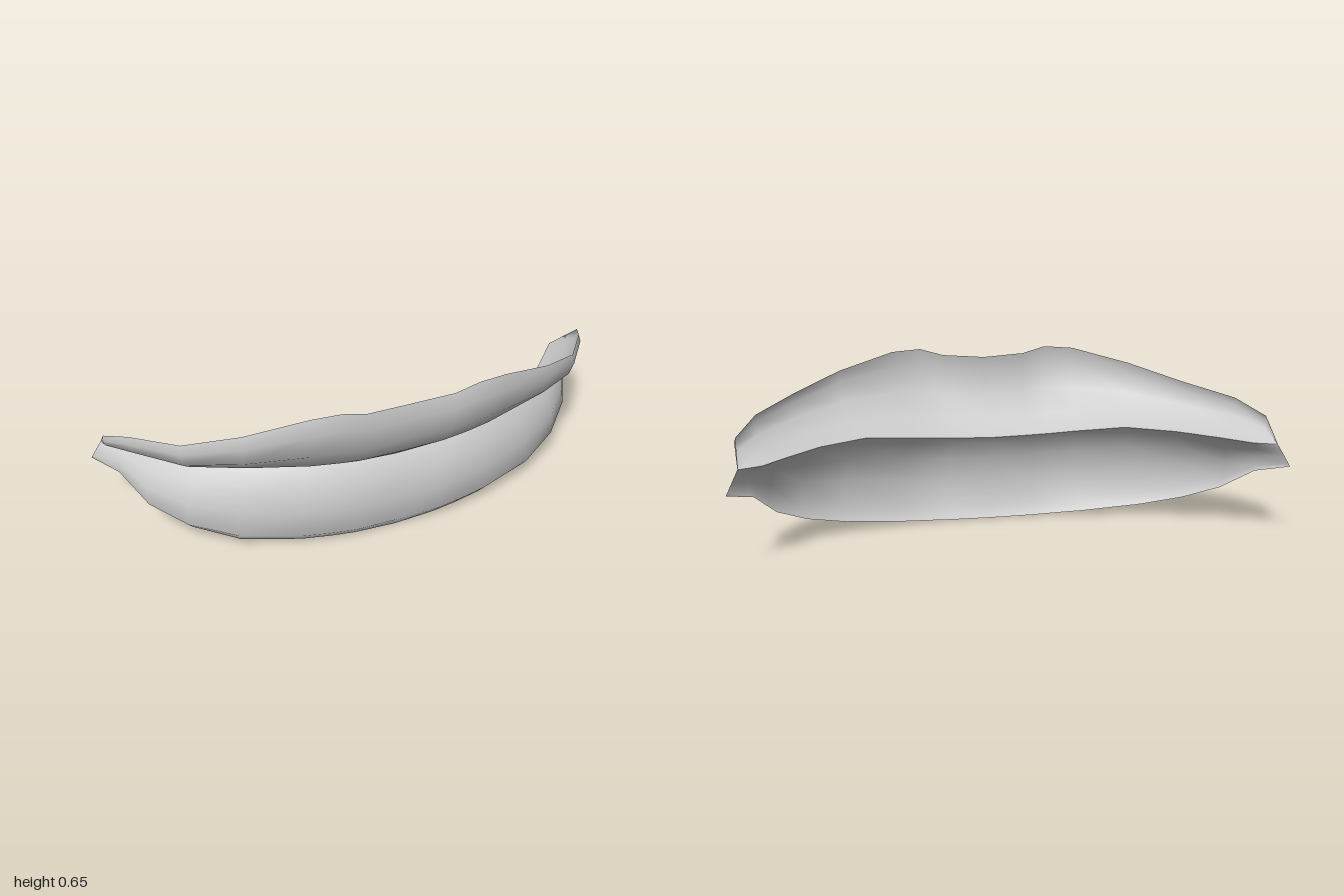
import * as THREE from 'three';

// Half-outlines from the middle to the left corner, as [x, y, z]
const seam = [[0, 0.325, 0.155], [0.15, 0.33, 0.147], [0.23, 0.335, 0.135], [0.31, 0.342, 0.12], [0.5, 0.36, 0.055],
  [0.67, 0.352, -0.04], [0.79, 0.345, -0.17], [0.88, 0.338, -0.27], [0.96, 0.335, -0.3]];
const upperRim = [[0, 0.62, 0.295], [0.16, 0.63, 0.308], [0.25, 0.655, 0.312], [0.36, 0.648, 0.293], [0.57, 0.59, 0.22],
  [0.75, 0.525, 0.1], [0.89, 0.48, -0.08], [0.96, 0.425, -0.2], [0.96, 0.335, -0.3]];
const lowerRim = [[0, 0.005, 0.175], [0.16, 0.008, 0.168], [0.25, 0.013, 0.158], [0.36, 0.02, 0.14], [0.57, 0.045, 0.085],
  [0.72, 0.085, 0], [0.83, 0.14, -0.1], [0.91, 0.225, -0.225], [1, 0.255, -0.325]];

// Profiles from top to bottom
const upperProfile = [[1, 1], [0.8, 1.07], [0.49, 0.96], [0.21, 0.6], [0.04, 0.2], [0, 0]]; // height, forward reach
const lowerProfile = [[1, 0], [0.92, 0.022], [0.73, 0.052], [0.47, 0.06], [0.14, 0.043], [0, 0]]; // height, bulge
const bulgeScale = [0.8, 1, 1, 1, 1, 1, 0.9, 0.5, 0];

// Skins the columns of a half lip and its mirror image
function lip(name, rows, pointAt) {
  const n = seam.length - 1, positions = [], indices = [];
  for (let c = -n; c <= n; c++) {
    for (let r = 0; r < rows; r++) {
      const [x, y, z] = pointAt(Math.abs(c), r);
      positions.push(Math.sign(c) * x, y, z);
    }
  }
  for (let c = 0; c < 2 * n; c++) {
    for (let r = 0; r < rows - 1; r++) {
      const a = c * rows + r, b = a + rows;
      indices.push(a, a + 1, b, b, a + 1, b + 1);
    }
  }
  const geometry = new THREE.BufferGeometry();
  geometry.setAttribute('position', new THREE.Float32BufferAttribute(positions, 3));
  geometry.setIndex(indices);
  geometry.computeVertexNormals();
  const mesh = new THREE.Mesh(geometry, new THREE.MeshStandardMaterial({ color: 0xcccccc, side: THREE.DoubleSide }));
  mesh.name = name;
  return mesh;
}

export function createModel() {
  const group = new THREE.Group();
  group.name = 'lips';

  // Upper lip flares forward from the seam to the bowed rim
  group.add(lip('upperLip', upperProfile.length, (c, r) => {
    const [h, f] = upperProfile[r], s = seam[c], t = upperRim[c];
    return [s[0] + f * (t[0] - s[0]), s[1] + h * (t[1] - s[1]), s[2] + f * (t[2] - s[2])];
  }));

  // Lower lip swells outward between the seam and its lower rim
  group.add(lip('lowerLip', lowerProfile.length, (c, r) => {
    const [h, bulge] = lowerProfile[r], s = seam[c], b = lowerRim[c];
    const angle = s[0] * 1.05, out = bulge * bulgeScale[c];
    return [
      b[0] + h * (s[0] - b[0]) + out * Math.sin(angle),
      b[1] + h * (s[1] - b[1]),
      b[2] + h * (s[2] - b[2]) + out * Math.cos(angle),
    ];
  }));
  return group;
}
